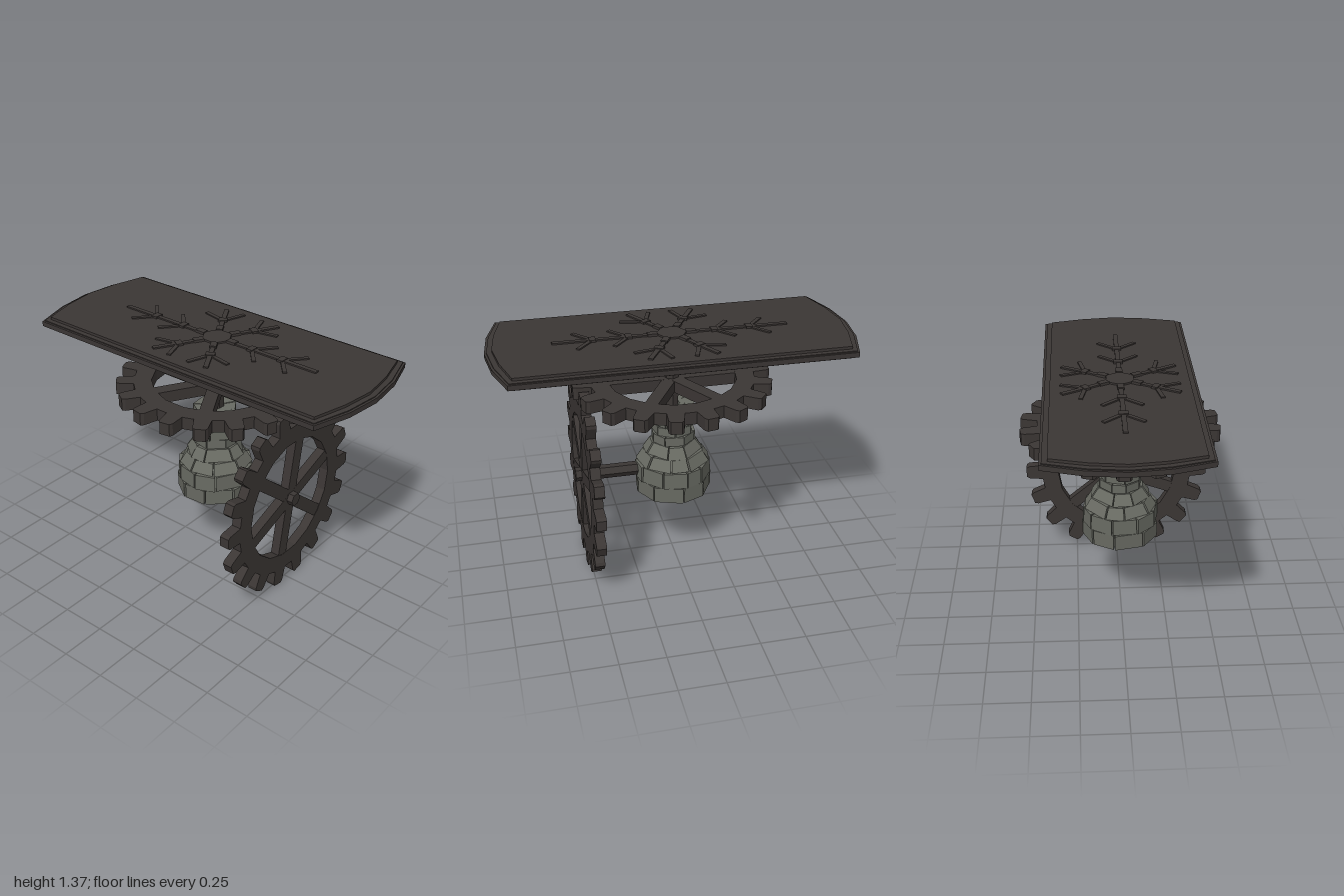
import * as THREE from 'three';

const iron = new THREE.MeshStandardMaterial({ color: 0x3b3634, flatShading: true });
const stone = new THREE.MeshStandardMaterial({ color: 0x686a62, flatShading: true });

function add(parent, name, geometry, material = iron) {
  const mesh = new THREE.Mesh(geometry, material);
  mesh.name = name;
  parent.add(mesh);
  return mesh;
}

// small seeded generator for the uneven stonework
let seed = 7;
const jitter = (amount) => {
  seed = (seed * 16807) % 2147483647;
  return (seed / 2147483647 - 0.5) * 2 * amount;
};

// toothed wheel in the XY plane, centred on its own middle
function createGear(name, depth, turn, spokeTurn) {
  const gear = new THREE.Group();
  gear.name = name;
  const teeth = 18;
  const profile = [[0.452, -0.047], [0.533, -0.04], [0.55, -0.029], [0.55, 0.029], [0.533, 0.04], [0.452, 0.047]];
  const outline = [], hole = [];
  for (let i = 0; i < teeth; i++) {
    const a = turn + (i / teeth) * Math.PI * 2;
    const c = Math.cos(a), s = Math.sin(a);
    for (const [r, t] of profile) outline.push(new THREE.Vector2(r * c - t * s, r * s + t * c));
    hole.push(new THREE.Vector2(0.357 * c, 0.357 * s));
  }
  const shape = new THREE.Shape(outline);
  shape.holes.push(new THREE.Path(hole));
  const rim = new THREE.ExtrudeGeometry(shape, { depth, bevelEnabled: false });
  rim.translate(0, 0, -depth / 2);
  add(gear, 'toothedRim', rim);
  for (let i = 0; i < 3; i++) {
    const spoke = add(gear, 'spokePair', new THREE.BoxGeometry(0.74, 0.072, depth * (0.95 - i * 0.01)));
    spoke.rotation.z = spokeTurn + (i * Math.PI) / 3;
  }
  return gear;
}

// board outline with shallow arched ends, shrunk by d
function boardLayer(d, y0, y1) {
  const half = [[0.415 - d, 0.912 - 0.65 * d], [0.205 - d / 2, 0.975 - d], [0, 0.998 - d]];
  const arch = [...half, ...half.slice(0, 2).reverse().map(([x, z]) => [-x, z])];
  const points = [...arch, ...arch.map(([x, z]) => [-x, -z])].map(([x, z]) => new THREE.Vector2(x, z));
  const geo = new THREE.ExtrudeGeometry(new THREE.Shape(points), { depth: y1 - y0, bevelEnabled: false });
  return geo.rotateX(-Math.PI / 2).translate(0, y0, 0);
}

// frost star: bars, chevrons and small studs, showing on both faces of the board
function createStar() {
  const star = new THREE.Group();
  star.name = 'starRelief';
  const bar = (parent, name, x, z, length, angle, width, y0, y1) => {
    const geo = new THREE.BoxGeometry(length, y1 - y0, width).translate(length / 2, (y0 + y1) / 2, 0);
    const mesh = add(parent, name, geo);
    mesh.position.set(x, 0, z);
    mesh.rotation.y = angle;
  };
  for (let i = 0; i < 6; i++) {
    const long = i % 3 === 1;
    const arm = new THREE.Group();
    arm.name = 'starArm';
    arm.rotation.y = Math.PI / 6 + (i * Math.PI) / 3;
    bar(arm, 'armBar', 0, 0, long ? 0.645 : 0.36, 0, 0.026, 1.29, 1.37);
    bar(arm, 'hubStud', 0.078, 0, 0.055, 0, 0.036, 1.282, 1.376);
    for (const r of long ? [0.235, 0.43] : [0.215]) {
      bar(arm, 'stud', r - 0.018, 0, 0.036, 0, 0.05, 1.289, 1.374);
      for (const side of [-1, 1]) bar(arm, 'branch', r, 0, 0.14, side * 0.85, 0.022, 1.2905, 1.369);
    }
    star.add(arm);
  }
  const hub = add(star, 'starHub', new THREE.CylinderGeometry(0.085, 0.085, 0.088, 6));
  hub.position.y = 1.328;
  return star;
}

// wedge-shaped block bent round the tower axis
function blockGeometry(a0, a1, y0, y1, inner, outer0, outer1) {
  const geo = new THREE.BoxGeometry(1, 1, 1);
  const pos = geo.attributes.position;
  for (let i = 0; i < pos.count; i++) {
    const v = pos.getY(i) + 0.5;
    const a = a0 + (a1 - a0) * (pos.getX(i) + 0.5);
    const r = pos.getZ(i) > 0 ? outer0 + (outer1 - outer0) * v : inner;
    pos.setXYZ(i, Math.sin(a) * r, y0 + (y1 - y0) * v, Math.cos(a) * r);
  }
  geo.computeVertexNormals();
  return geo;
}

function createTower() {
  const tower = new THREE.Group();
  tower.name = 'stoneTower';
  // [bottom, top, lower radius, upper radius, inner radius, blocks]
  const courses = [
    [0.415, 0.51, 0.214, 0.216, 0.1, 9],
    [0.51, 0.605, 0.216, 0.213, 0.1, 10],
    [0.605, 0.668, 0.206, 0.168, 0.06, 9],
    [0.668, 0.73, 0.168, 0.128, 0.06, 8],
    [0.73, 0.785, 0.122, 0.122, 0.04, 8],
    [0.785, 0.84, 0.122, 0.122, 0.04, 7],
    [0.84, 0.9, 0.122, 0.122, 0.04, 8],
    [0.9, 0.952, 0.124, 0.124, 0.04, 7],
  ];
  for (const [y0, y1, r0, r1, inner, count] of courses) {
    const start = jitter(0.5);
    const step = (Math.PI * 2) / count;
    const joints = Array.from({ length: count }, (_, i) => start + step * i + jitter(step * 0.16));
    joints.push(joints[0] + Math.PI * 2);
    for (let i = 0; i < count; i++) {
      const bulge = jitter(0.005);
      const gap = 0.02;
      add(tower, 'stoneBlock', blockGeometry(joints[i] + gap, joints[i + 1] - gap,
        y0 + 0.001 + jitter(0.001), y1 - 0.003 + jitter(0.002), inner, r0 + bulge, r1 + bulge), stone);
    }
  }
  // solid core closing the joints
  const core = [[0, 0.47], [0.185, 0.47], [0.185, 0.6], [0.105, 0.72], [0.105, 0.945], [0, 0.945]];
  add(tower, 'towerCore', new THREE.LatheGeometry(core.map(([x, y]) => new THREE.Vector2(x, y)), 10), stone);
  tower.position.z = -0.007;
  return tower;
}

export function createModel() {
  const model = new THREE.Group();
  model.name = 'gearTable';
  const deg = Math.PI / 180;

  // upright wheel with its axle into the tower
  const frontGear = createGear('uprightGear', 0.055, 0, 20 * deg);
  frontGear.position.set(0, 0.552, 0.496);
  model.add(frontGear);
  const axle = add(model, 'axle', new THREE.CylinderGeometry(0.039, 0.039, 0.5, 6));
  axle.geometry.rotateY(Math.PI / 6 * 3).rotateX(Math.PI / 2);
  axle.position.set(0, 0.556, 0.306);

  // flat wheel on the vertical shaft
  const flatGear = createGear('flatGear', 0.07, 10 * deg, 30 * deg);
  flatGear.rotation.x = -Math.PI / 2;
  flatGear.position.y = 1.078;
  model.add(flatGear);
  const shaft = add(model, 'shaft', new THREE.CylinderGeometry(0.039, 0.039, 0.39, 6));
  shaft.geometry.rotateY(Math.PI / 2);
  shaft.position.y = 1.125;

  // stepped board
  add(model, 'boardEdge', boardLayer(0, 1.314, 1.342));
  add(model, 'boardRim', boardLayer(0.012, 1.309, 1.347));
  add(model, 'boardPanel', boardLayer(0.04, 1.294, 1.362));
  model.add(createStar());

  model.add(createTower());
  return model;
}
